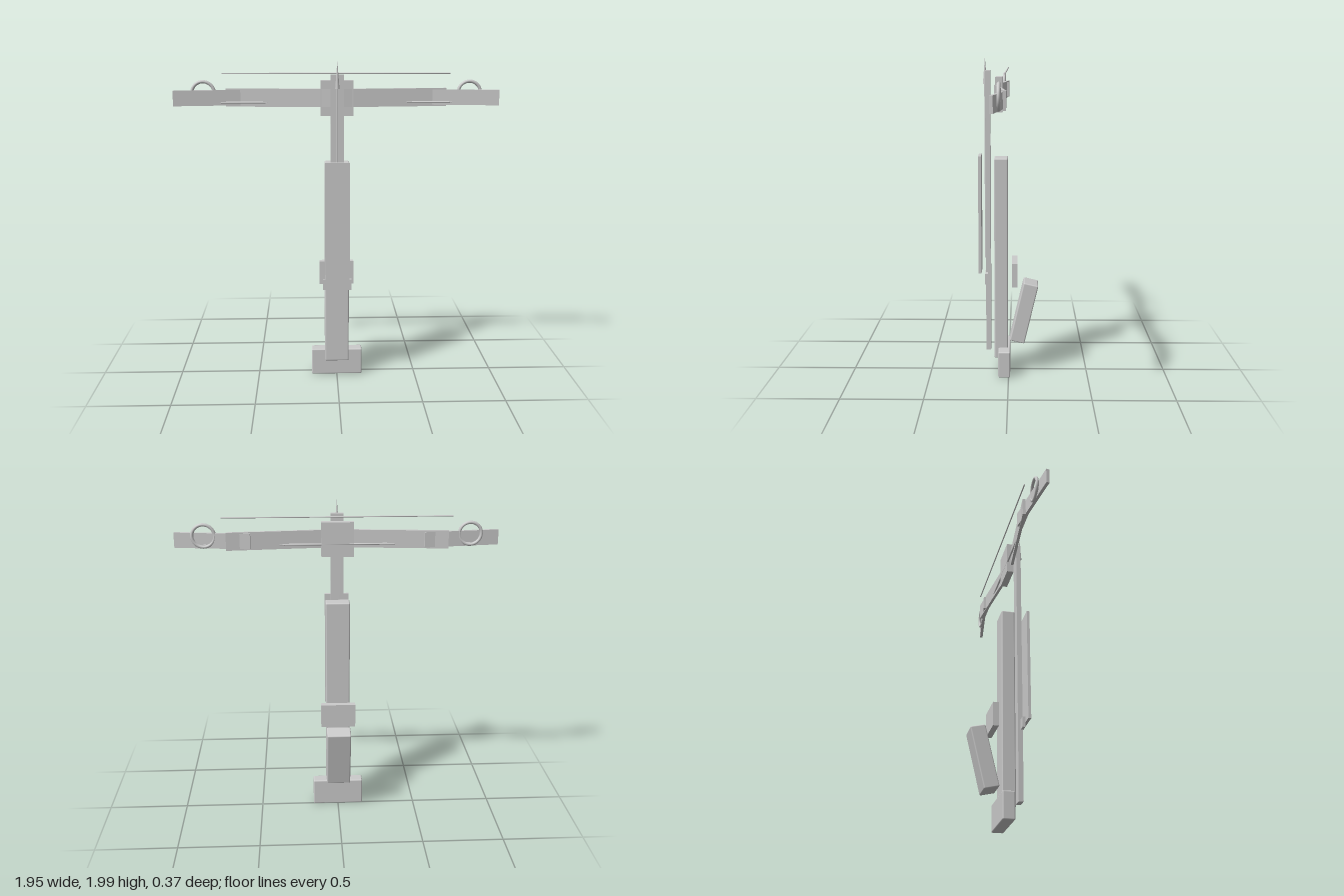
import * as THREE from 'three';
import { RoundedBoxGeometry } from 'three/addons/geometries/RoundedBoxGeometry.js';

const material = new THREE.MeshStandardMaterial({ color: 0xcccccc });

export function createModel() {
  const model = new THREE.Group();

  function add(name, geometry, x, y, z) {
    const mesh = new THREE.Mesh(geometry, material);
    mesh.name = name;
    mesh.position.set(x, y, z);
    model.add(mesh);
    return mesh;
  }

  // Box from its half width and its y and z ranges, with optional softened edges
  function block(name, halfWidth, y0, y1, z0, z1, radius = 0) {
    const size = [halfWidth * 2, y1 - y0, z1 - z0];
    const geometry = radius ? new RoundedBoxGeometry(...size, 2, radius) : new THREE.BoxGeometry(...size);
    return add(name, geometry, 0, (y0 + y1) / 2, (z0 + z1) / 2);
  }

  // Flat limb running between two points in plan
  function limb(name, x0, z0, x1, z1, y0, y1, thickness) {
    const dx = x1 - x0, dz = z1 - z0;
    const geometry = new THREE.BoxGeometry(Math.hypot(dx, dz), y1 - y0, thickness);
    const mesh = add(name, geometry, (x0 + x1) / 2, (y0 + y1) / 2, (z0 + z1) / 2);
    mesh.rotation.y = Math.atan2(-dz, dx);
  }

  // Thin cord stretched across the bow
  function cord(name, halfLength, y, z, radius) {
    const mesh = add(name, new THREE.CylinderGeometry(radius, radius, halfLength * 2, 12), 0, y, z);
    mesh.rotation.z = Math.PI / 2;
  }

  // Stock, butt and rail
  block('stock', 0.075, 0.105, 1.388, 0.005, 0.09, 0.008);
  block('butt', 0.16, 0.005, 0.175, -0.01, 0.065, 0.008);
  block('rail', 0.039, 0.15, 1.918, 0.113, 0.143);
  block('railRidge', 0.004, 0.15, 1.918, 0.14, 0.145);
  block('topCover', 0.075, 0.663, 1.402, 0.17, 0.188);
  block('latch', 0.088, 0.598, 0.665, 0.13, 0.147);

  // Grip
  block('triggerHousing', 0.108, 0.585, 0.736, -0.056, -0.02);
  const grip = add('grip', new RoundedBoxGeometry(0.15, 0.39, 0.095, 2, 0.008), 0, 0.402, -0.097);
  grip.rotation.x = -0.227;

  // Bolt with its pointed head
  add('boltShaft', new THREE.CylinderGeometry(0.005, 0.005, 1.1, 12), 0, 1.3, 0.145);
  add('boltHead', new THREE.ConeGeometry(0.013, 0.165, 12), 0, 1.917, 0.145);

  // Riser, limbs and wheels
  block('riser', 0.098, 1.67, 1.88, 0.037, 0.08);
  for (const side of [-1, 1]) {
    limb('innerLimb', 0, 0.08, side * 0.665, 0.014, 1.722, 1.83, 0.018);
    limb('outerLimb', side * 0.52, 0.014, side * 0.976, 0.076, 1.73, 1.822, 0.019);
    add('wheel', new THREE.TorusGeometry(0.067, 0.01, 12, 40), side * 0.8, 1.805, 0.042);
  }

  // Bowstring and cable
  cord('bowstring', 0.688, 1.918, 0.012, 0.004);
  cord('cable', 0.8, 1.747, 0.042, 0.006);

  return model;
}
